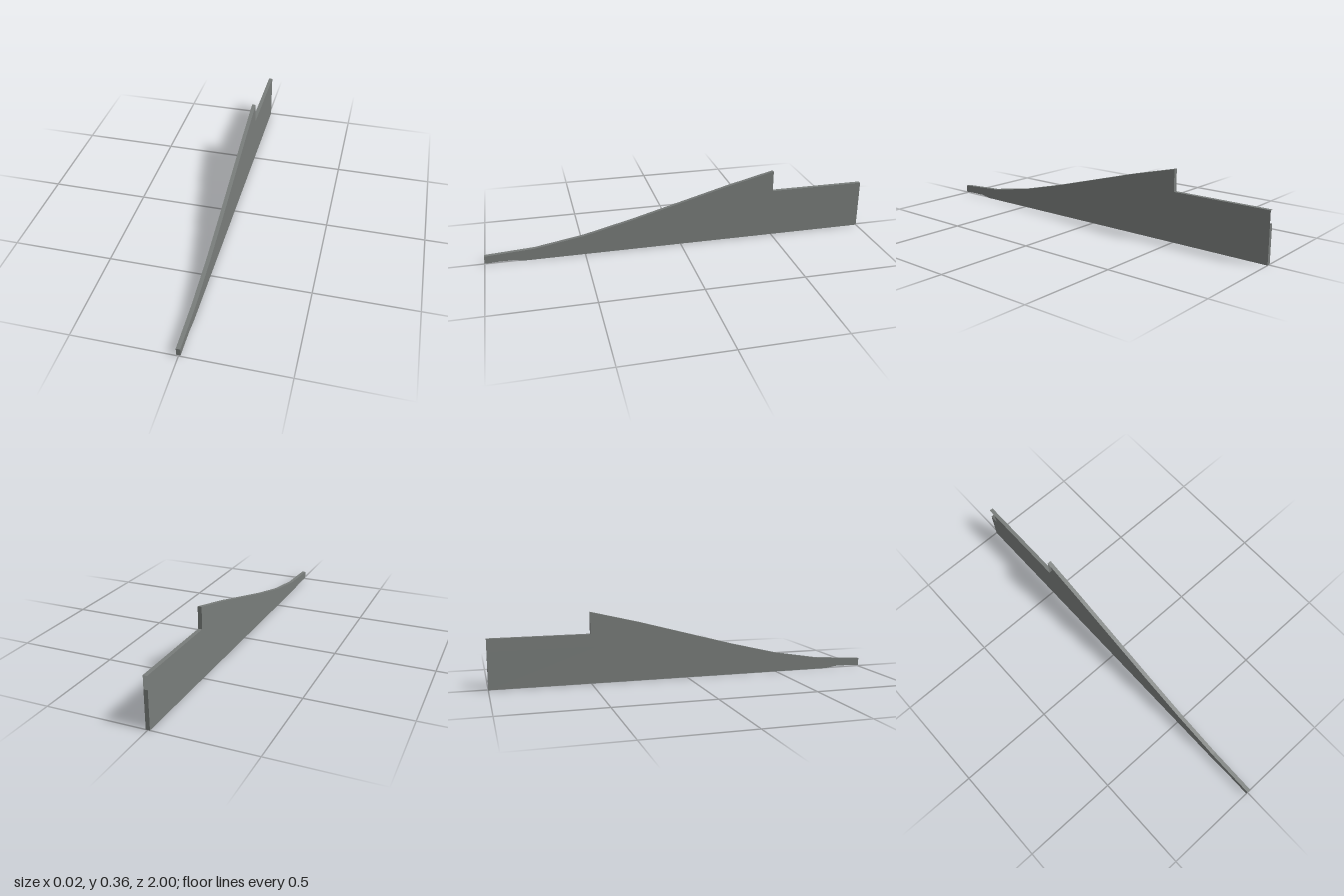
import * as THREE from 'three';

const HALF = 0.01; // half the plate thickness

// Outlines as [z, y]
const bottom = [[-1, 0], [0.8, 0], [0.86, 0.009], [0.93, 0.009], [1, 0.006]];
const slope = [[1, 0.045], [0.75, 0.06], [0.5, 0.102], [0.25, 0.163], [0, 0.231], [-0.25, 0.299]];
const step = [[-0.5, 0.36], [-0.5, 0.25], [-1, 0.25]];
// The right skin stops short of the stepped edge, leaving a slot
const slot = [[-0.473, 0.353], [-0.473, 0.186], [-1, 0.186]];

// Flat side skin; side is +1 for left, -1 for right
function skin(points, side) {
  const shape = new THREE.Shape(points.map(([z, y]) => new THREE.Vector2(-side * z, y)));
  return new THREE.ShapeGeometry(shape).rotateY(side * Math.PI / 2).translate(side * HALF, 0, 0);
}

// Narrow rim following an outline across the thickness
function rim(points) {
  const pos = [];
  for (let i = 0; i < points.length - 1; i++) {
    const [az, ay] = points[i], [bz, by] = points[i + 1];
    const a = [-HALF, ay, az], b = [HALF, ay, az], c = [HALF, by, bz], d = [-HALF, by, bz];
    pos.push(...a, ...b, ...c, ...a, ...c, ...d);
  }
  const geo = new THREE.BufferGeometry();
  geo.setAttribute('position', new THREE.Float32BufferAttribute(pos, 3));
  geo.computeVertexNormals();
  return geo;
}

export function createModel() {
  const group = new THREE.Group();
  group.name = 'steppedFin';
  const grey = new THREE.MeshStandardMaterial({ color: 0x787c7a, side: THREE.DoubleSide });
  grey.name = 'grey';

  const add = (name, geo) => {
    const mesh = new THREE.Mesh(geo, grey);
    mesh.name = name;
    group.add(mesh);
  };

  add('leftSkin', skin([...bottom, ...slope, ...step], 1));
  add('rightSkin', skin([...bottom, ...slope, ...slot], -1));
  // The rim starts part way up the back end, leaving the slot open there
  add('rim', rim([[-1, 0.186], ...bottom, ...slope, ...step]));
  return group;
}
